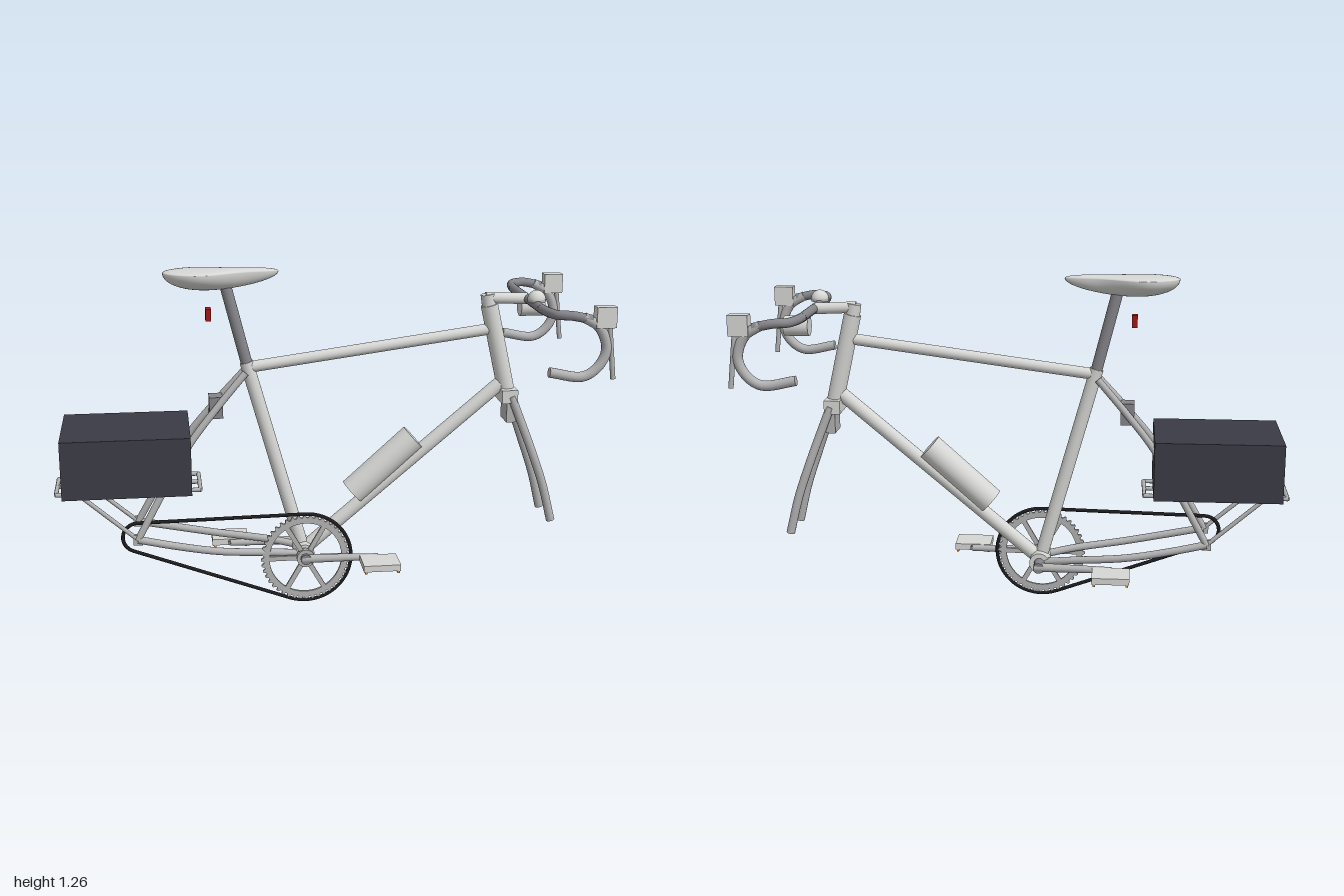
import * as THREE from 'three';

const mat = (name, color, side = THREE.FrontSide) => {
  const m = new THREE.MeshStandardMaterial({ color, side });
  m.name = name;
  return m;
};
const V = (a) => new THREE.Vector3(...a);

export function createModel() {
  const bike = new THREE.Group();
  bike.name = 'bicycleFrame';
  const light = mat('lightGrey', 0xd6d6d4);
  const mid = mat('midGrey', 0xb2b2b2);
  const dark = mat('darkGrey', 0x85858a);
  const black = mat('chainBlack', 0x1c1c1f);
  const slate = mat('slate', 0x3b3b45);
  const red = mat('red', 0xa01818);
  const orange = mat('orange', 0xe8921e);

  const add = (name, geo, m, pos = [0, 0, 0], parent = bike) => {
    const mesh = new THREE.Mesh(geo, m);
    mesh.name = name;
    mesh.position.set(...pos);
    parent.add(mesh);
    return mesh;
  };
  const box = (name, size, pos, m) => add(name, new THREE.BoxGeometry(...size), m, pos);
  // Straight capped tube from a to b
  const rod = (name, a, b, r, m, r2 = r, sides = 20) => {
    const A = V(a), B = V(b), d = B.clone().sub(A);
    const mesh = add(name, new THREE.CylinderGeometry(r2, r, d.length(), sides), m,
      A.clone().add(B).multiplyScalar(0.5).toArray());
    mesh.quaternion.setFromUnitVectors(new THREE.Vector3(0, 1, 0), d.normalize());
    return mesh;
  };
  // Bent tube through points, with flat end caps
  const bent = (name, pts, r, m) => {
    const curve = new THREE.CatmullRomCurve3(pts.map(V), false, 'centripetal');
    const g = new THREE.Group();
    g.name = name;
    bike.add(g);
    add(name + 'Tube', new THREE.TubeGeometry(curve, pts.length * 8, r, 14), m, [0, 0, 0], g);
    for (const t of [0, 1]) {
      const cap = add(name + 'Cap', new THREE.CircleGeometry(r, 14), m, curve.getPoint(t).toArray(), g);
      cap.quaternion.setFromUnitVectors(new THREE.Vector3(0, 0, 1),
        curve.getTangent(t).multiplyScalar(t ? 1 : -1));
    }
  };

  // Main frame
  const bbX = -0.08, bbY = 0.18;
  rod('bottomBracketShell', [bbX, bbY, -0.057], [bbX, bbY, 0.057], 0.038, light);
  rod('seatTube', [bbX, bbY, 0], [-0.285, 0.92, 0], 0.025, light);
  rod('topTube', [-0.28, 0.9, 0], [0.63, 1.02, 0], 0.021, light);
  rod('downTube', [bbX, bbY, 0], [0.665, 0.81, 0], 0.026, light);
  rod('headTube', [0.615, 1.11, 0], [0.688, 0.79, 0], 0.032, light);
  rod('seatPost', [-0.28, 0.9, 0], [-0.36, 1.22, 0], 0.021, dark);

  // Saddle: a sphere with a wide rear, a narrow nose and a flattened top
  const saddle = new THREE.SphereGeometry(1, 40, 24);
  const p = saddle.attributes.position;
  for (let i = 0; i < p.count; i++) {
    const x = p.getX(i), y = p.getY(i), z = p.getZ(i);
    const w = 0.033 + 0.066 * (1 - THREE.MathUtils.smoothstep(x, -0.55, 0.5));
    const dip = 0.007 * Math.cos(x * Math.PI / 2);
    p.setXYZ(i, -0.372 + x * 0.208, 1.253 + (y > 0 ? y * 0.02 - dip * y : y * (0.062 - 0.015 * x)), z * w);
  }
  saddle.computeVertexNormals();
  add('saddle', saddle, light);

  // Fork crown, brakes and lights
  box('forkCrown', [0.06, 0.05, 0.12], [0.692, 0.77, 0], light);
  box('frontBrake', [0.035, 0.08, 0.09], [0.702, 0.708, 0], mid);
  box('rearBrake', [0.05, 0.08, 0.07], [-0.4, 0.758, 0], dark);
  box('tailLight', [0.02, 0.045, 0.04], [-0.42, 1.1, 0], red);

  // Stem and cockpit
  rod('stem', [0.6, 1.137, 0], [0.755, 1.13, 0], 0.021, light);
  rod('steererTop', [0.615, 1.1, 0], [0.607, 1.15, 0], 0.026, light);
  rod('handlebarTop', [0.757, 1.13, -0.2], [0.757, 1.13, 0.2], 0.017, dark);
  add('bell', new THREE.SphereGeometry(0.033, 24, 12, 0, Math.PI * 2, 0, Math.PI / 2), light, [0.76, 1.149, 0.115]);
  rod('bellBase', [0.76, 1.14, 0.115], [0.76, 1.15, 0.115], 0.033, mid);
  rod('headlight', [0.755, 1.082, -0.095], [0.845, 1.082, -0.095], 0.037, light);
  rod('headlightMount', [0.76, 1.13, -0.08], [0.775, 1.08, -0.095], 0.012, dark);

  // Bottle on the down tube
  rod('bottle', [0.108, 0.405, 0], [0.338, 0.612, 0], 0.051, light, 0.051, 28);

  // Mirrored parts
  for (const s of [1, -1]) {
    bent('forkLeg', [[0.7, 0.77, s * 0.048], [0.735, 0.68, s * 0.054], [0.778, 0.565, s * 0.068],
      [0.825, 0.43, s * 0.075], [0.862, 0.285, s * 0.08]], 0.016, mid);
    bent('seatStay', [[-0.29, 0.885, s * 0.026], [-0.4, 0.76, s * 0.048], [-0.5, 0.635, s * 0.068],
      [-0.6, 0.465, s * 0.085], [-0.7, 0.285, s * 0.1]], 0.013, mid);
    bent('chainStay', [[bbX, bbY, s * 0.04], [-0.2, 0.2, s * 0.07], [-0.4, 0.225, s * 0.1],
      [-0.56, 0.255, s * 0.105], [-0.7, 0.285, s * 0.1]], 0.014, mid);
    box('dropout', [0.035, 0.04, 0.012], [-0.7, 0.285, s * 0.1], mid);
    bent('handlebarBend', [[0.757, 1.13, s * 0.195], [0.766, 1.13, s * 0.265], [0.785, 1.13, s * 0.31],
      [0.83, 1.13, s * 0.33], [0.9, 1.115, s * 0.33]], 0.017, dark);
    bent('handlebarDrop', [[0.87, 1.125, s * 0.33], [0.93, 1.085, s * 0.33], [0.958, 1.01, s * 0.33],
      [0.935, 0.95, s * 0.33], [0.88, 0.912, s * 0.33], [0.755, 0.93, s * 0.33]], 0.018, mid);
    box('brakeHood', [0.072, 0.074, 0.044], [0.948, 1.124, s * 0.33], light);
    rod('brakeLever', [0.965, 1.1, s * 0.33], [0.988, 0.9, s * 0.33], 0.009, mid);

    // Crank arm and pedal, one forward and one back
    const px = bbX + s * 0.27;
    rod('crankArm', [bbX - s * 0.015, bbY, s * 0.1], [px, 0.178, s * 0.106], 0.017, mid, 0.012);
    rod('pedalAxle', [px, 0.178, s * 0.1], [px, 0.178, s * 0.14], 0.009, dark);
    box('pedal', [0.138, 0.024, 0.115], [px, 0.178, s * 0.172], light);
    for (const e of [1, -1])
      box('pedalReflector', [0.009, 0.009, 0.112], [px + e * 0.06, 0.162, s * 0.172], orange);
  }
  rod('crankAxle', [bbX, bbY, -0.115], [bbX, bbY, 0.115], 0.02, dark);

  // Chainring with teeth, open centre and six spokes
  const teeth = 44, ring = new THREE.Shape();
  for (let i = 0; i < teeth * 4; i++) {
    const a = i / (teeth * 4) * Math.PI * 2, r = i % 4 < 2 ? 0.168 : 0.158;
    ring[i ? 'lineTo' : 'moveTo'](Math.cos(a) * r, Math.sin(a) * r);
  }
  ring.closePath();
  ring.holes.push(new THREE.Path().absarc(0, 0, 0.136, 0, Math.PI * 2, true));
  add('chainring', new THREE.ExtrudeGeometry(ring, { depth: 0.01, bevelEnabled: false, curveSegments: 40 }),
    mid, [bbX, bbY, 0.08]);
  for (let i = 0; i < 6; i++) {
    const a = i * Math.PI / 3;
    box('chainringSpoke', [0.13, 0.018, 0.01],
      [bbX + Math.cos(a) * 0.08, bbY + Math.sin(a) * 0.08, 0.085], mid).rotation.z = a;
  }
  rod('chainringHub', [bbX, bbY, 0.075], [bbX, bbY, 0.1], 0.034, mid);

  // Chain wrapped round the chainring and the missing rear sprocket
  const R1 = 0.172, R2 = 0.056, rx = -0.7, ry = 0.285;
  const phi = Math.atan2(ry - bbY, rx - bbX);
  const a = Math.acos((R1 - R2) / Math.hypot(rx - bbX, ry - bbY));
  const loop = [];
  const arc = (cx, cy, r, z, from, to, n) => {
    for (let i = 0; i <= n; i++) {
      const t = from + (to - from) * i / n;
      loop.push(new THREE.Vector3(cx + Math.cos(t) * r, cy + Math.sin(t) * r, z));
    }
  };
  arc(bbX, bbY, R1, 0.085, phi + a, phi + Math.PI * 2 - a, 32);
  arc(rx, ry, R2, 0.076, phi - a, phi + a, 14);
  const chain = new THREE.CurvePath();
  loop.forEach((q, i) => chain.add(new THREE.LineCurve3(q, loop[(i + 1) % loop.length])));
  add('chain', new THREE.TubeGeometry(chain, 260, 0.007, 8, true), black);

  // Luggage rack
  const y = 0.468, zr = 0.095, r = 0.008;
  for (const z of [-zr, 0, zr]) rod('rackRail', [-0.99, y, z], [-0.465, y, z], r, mid, r, 10);
  for (const x of [-0.988, -0.85, -0.72, -0.59, -0.467])
    rod('rackCrossbar', [x, y, -zr], [x, y, zr], r, mid, r, 10);
  for (const s of [1, -1])
    rod('rackStrut', [-0.91, y, s * zr], [-0.7, 0.285, s * 0.1], r, mid, r, 10);

  // Luggage box
  box('luggageBox', [0.463, 0.216, 0.372], [-0.731, 0.584, 0], slate);
  return bike;
}
